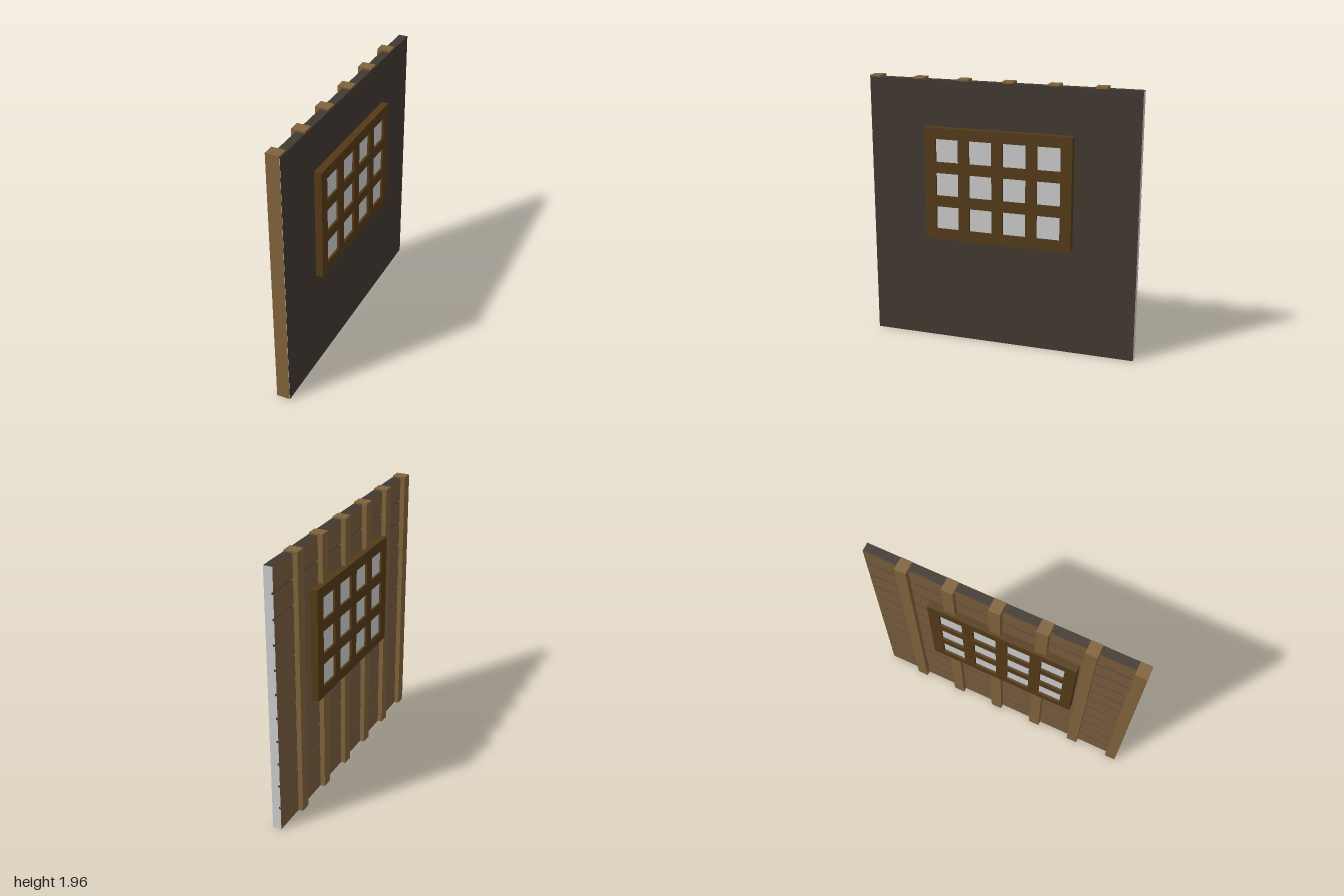
import * as THREE from 'three';

const mat = (color) => new THREE.MeshStandardMaterial({ color });

export function createModel() {
  const model = new THREE.Group();
  const plaster = mat(0x413931), plank = mat(0x785b3c), timber = mat(0x80633b);
  const frameWood = mat(0x543a17), grey = mat(0xcccccc);

  // Box from min/max limits on each axis
  const box = (name, [x0, x1], [y0, y1], [z0, z1], material, parent = model) => {
    const mesh = new THREE.Mesh(new THREE.BoxGeometry(x1 - x0, y1 - y0, z1 - z0), material);
    mesh.position.set((x0 + x1) / 2, (y0 + y1) / 2, (z0 + z1) / 2);
    mesh.name = name;
    parent.add(mesh);
  };

  // Smooth outer wall, with a bare end at the back
  const wallZ = [-1, 0.998], wallH = 1.95;
  box('wallCore', [-0.02, 0.032], [0, wallH], wallZ,
    [plaster, plaster, plaster, plaster, grey, grey]);

  // Horizontal planks on the inner side, separated by narrow grooves
  const planks = new THREE.Group();
  planks.name = 'planks';
  model.add(planks);
  const rows = 11, pitch = wallH / rows, gap = 0.008;
  for (let i = 0; i < rows; i++) {
    const y0 = i * pitch + (i > 0 ? gap : 0);
    const y1 = (i + 1) * pitch - (i < rows - 1 ? gap : 0);
    box('plank', [-0.033, -0.02], [y0, y1], wallZ,
      [plank, plank, plaster, plaster, grey, grey], planks);
  }

  // Upright posts, set into the wall and rising just above it
  const posts = new THREE.Group();
  posts.name = 'posts';
  model.add(posts);
  for (let i = 0; i < 6; i++) {
    const z = 1 - i * 0.334;
    box('post', [-0.068, 0.03], [0.002, 1.962], [z - 0.083, z], timber, posts);
  }

  // Window frame: one lattice with 4 x 3 openings
  const zMin = -0.535, zMax = 0.56, yMin = 0.785, yMax = 1.617;
  const shape = new THREE.Shape();
  const rect = (path, a0, a1, b0, b1) =>
    path.moveTo(a0, b0).lineTo(a1, b0).lineTo(a1, b1).lineTo(a0, b1).closePath();
  rect(shape, -zMax, -zMin, yMin, yMax);
  for (let c = 0; c < 4; c++) {
    for (let r = 0; r < 3; r++) {
      const hole = new THREE.Path();
      const a = -zMax + 0.082 + c * 0.253, b = yMin + 0.081 + r * 0.25;
      rect(hole, a, a + 0.171, b, b + 0.17);
      shape.holes.push(hole);
    }
  }
  const depth = 0.174;
  const frame = new THREE.Mesh(
    new THREE.ExtrudeGeometry(shape, { depth, bevelEnabled: false }), frameWood);
  frame.name = 'windowFrame';
  frame.rotation.y = Math.PI / 2;
  frame.position.x = -0.088;
  model.add(frame);

  // Glass slab behind the lattice openings
  box('windowGlass', [-0.072, 0.07], [yMin + 0.04, yMax - 0.04], [zMin + 0.04, zMax - 0.04], grey);

  return model;
}
